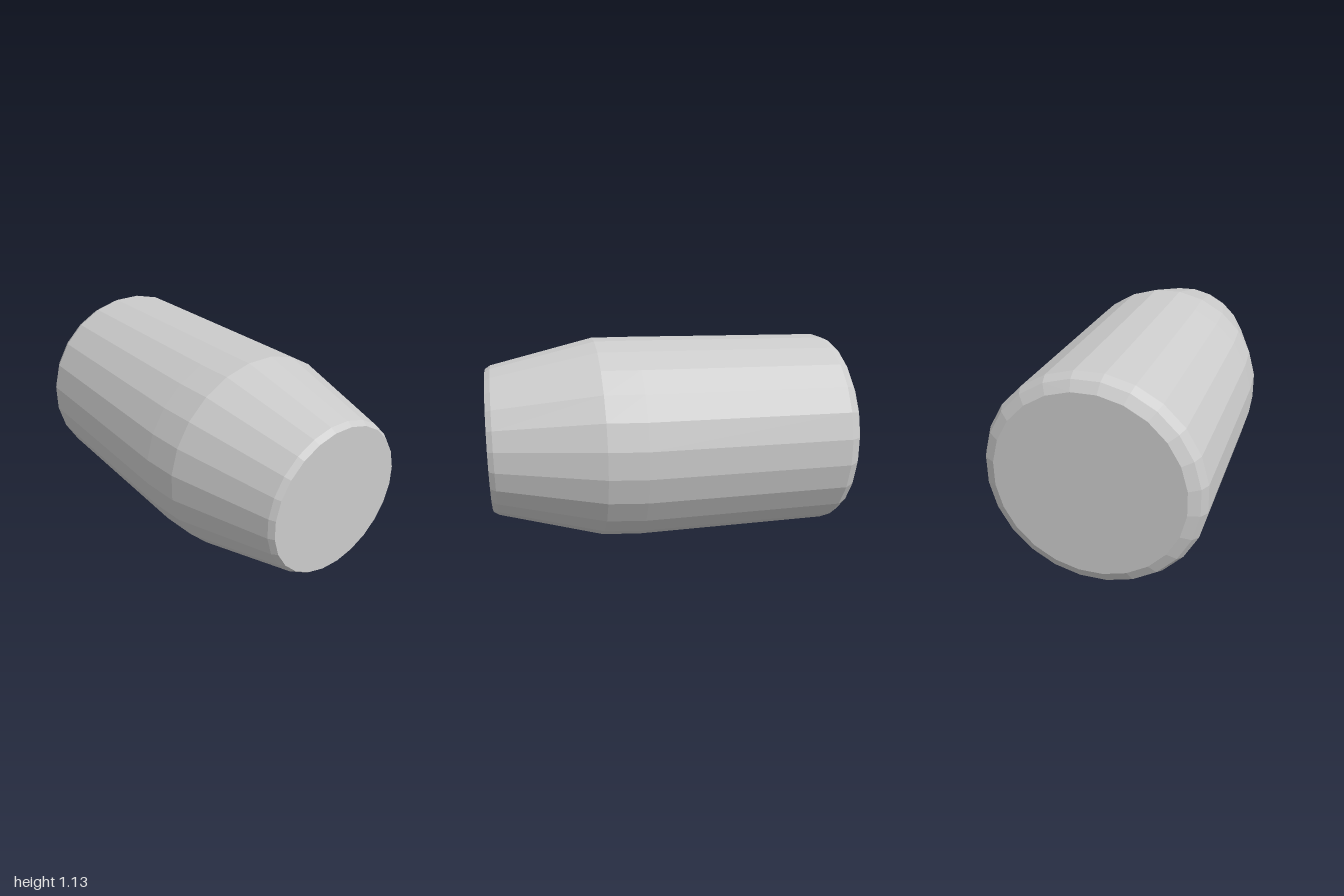
import * as THREE from 'three';

export function createModel() {
  const group = new THREE.Group();
  const material = new THREE.MeshStandardMaterial({ color: 0xcccccc, flatShading: true });

  // Stations from back to front: z, radius, centre x, centre y
  const stations = [
    [-1, 0, 0, 0.565],
    [-1, 0.48, 0, 0.565],
    [-0.968, 0.535, 0, 0.56],
    [-0.92, 0.56, 0, 0.557],
    [0.2, 0.57, 0, 0.565],
    [0.41, 0.562, 0.003, 0.575],
    [0.97, 0.416, 0.012, 0.59],
    [1, 0.397, 0.012, 0.59],
    [1, 0, 0.012, 0.59],
  ];

  // Faceted barrel turned about the z axis, with a flat on every side
  const sides = 24;
  const geometry = new THREE.LatheGeometry(
    stations.map(([z, r]) => new THREE.Vector2(r, z)), sides, Math.PI / sides);
  geometry.rotateX(Math.PI / 2);

  // Shift each ring to its own centre, so the nose sits slightly high
  const pos = geometry.attributes.position;
  for (let i = 0; i < pos.count; i++) {
    const [, , cx, cy] = stations[i % stations.length];
    pos.setXY(i, pos.getX(i) + cx, pos.getY(i) + cy);
  }
  geometry.computeVertexNormals();

  const body = new THREE.Mesh(geometry, material);
  body.name = 'taperedBarrel';
  group.add(body);
  return group;
}
